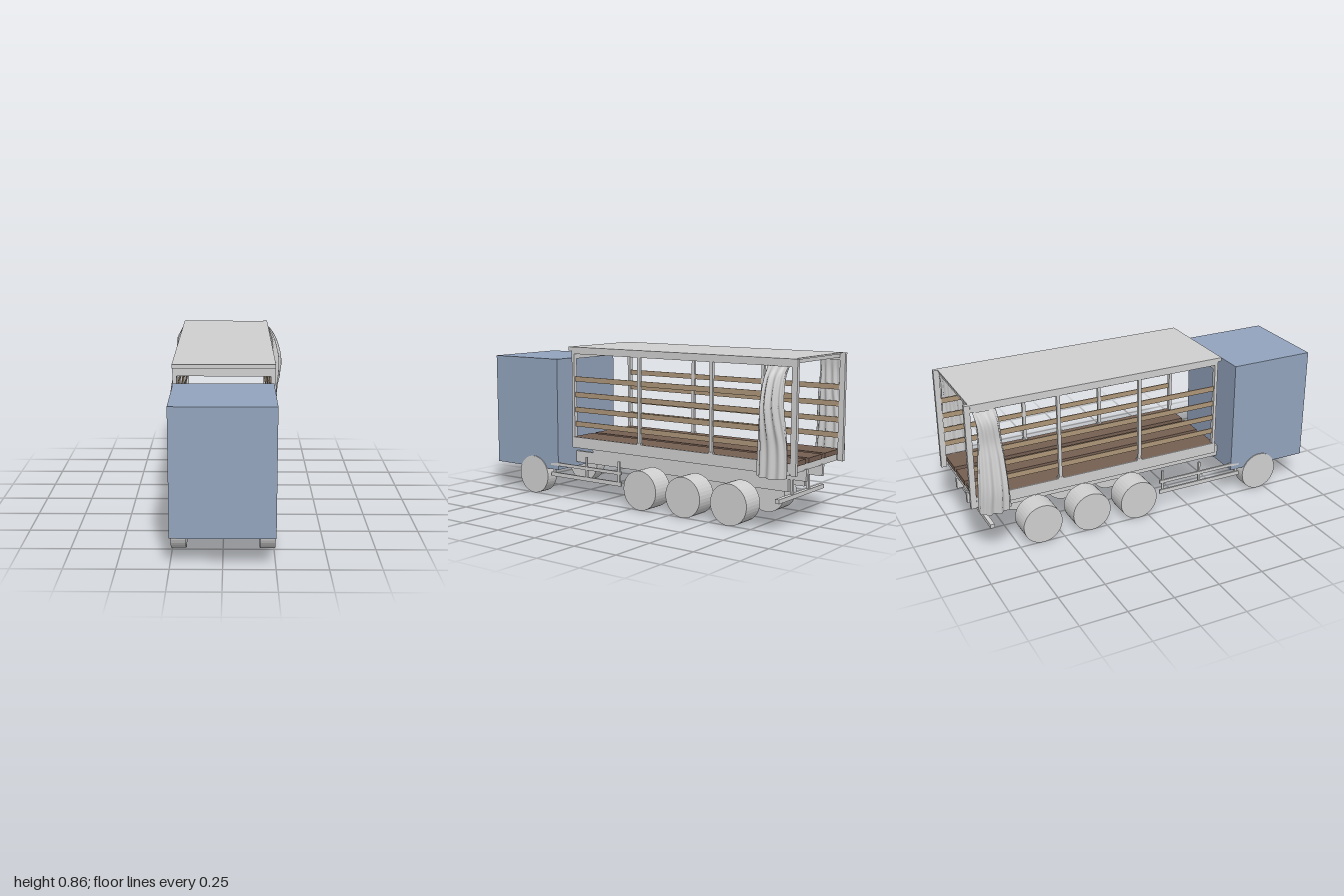
import * as THREE from 'three';

const mat = (name, color, extra = {}) => {
  const m = new THREE.MeshStandardMaterial({ color, ...extra });
  m.name = name;
  return m;
};

export function createModel() {
  const root = new THREE.Group();
  root.name = 'curtainTruck';
  const grey = mat('light grey', 0xcfcfcf);
  const greyWheel = mat('wheel grey', 0xcfcfcf, { flatShading: true });
  const cloth = mat('curtain grey', 0xd0d0d0, { side: THREE.DoubleSide });
  const blue = mat('cab blue', 0x92a3bc);
  const floorBrown = mat('floor brown', 0x755f52);
  const slatBrown = mat('slat brown', 0xae9679);

  // Box from its limits on each axis
  const box = (name, m, x0, x1, y0, y1, z0, z1) => {
    const mesh = new THREE.Mesh(new THREE.BoxGeometry(Math.abs(x1 - x0), y1 - y0, z1 - z0), m);
    mesh.position.set((x0 + x1) / 2, (y0 + y1) / 2, (z0 + z1) / 2);
    mesh.name = name;
    root.add(mesh);
  };
  // The same box on both sides
  const pair = (name, m, x0, x1, y0, y1, z0, z1) => {
    for (const s of [1, -1]) box(name, m, s * x0, s * x1, y0, y1, z0, z1);
  };

  // Cab
  box('cab', blue, -0.25, 0.25, 0.155, 0.785, 0.525, 1);

  // Wheels: single in front, double behind
  const wheel = (name, z, x0, x1) => {
    const geo = new THREE.CylinderGeometry(0.108, 0.108, x1 - x0, 36).rotateZ(Math.PI / 2);
    for (const s of [1, -1]) {
      const w = new THREE.Mesh(geo, greyWheel);
      w.position.set(s * (x0 + x1) / 2, 0.11, z);
      w.name = name;
      root.add(w);
    }
  };
  wheel('frontWheel', 0.71, 0.18, 0.255);
  for (const z of [-0.06, -0.34, -0.62]) {
    wheel('rearInnerWheel', z, 0.125, 0.18);
    wheel('rearOuterWheel', z, 0.18, 0.255);
  }

  // Chassis rails and the sub-frame on top of them
  pair('chassisRail', grey, 0.075, 0.095, 0.18, 0.245, -0.87, 0.53);
  pair('subFrameRail', grey, 0.075, 0.095, 0.245, 0.305, -0.97, 0.4);

  // Floor planks, their cross beams and the outer side plates
  box('centreFloor', floorBrown, -0.07, 0.07, 0.335, 0.36, -0.97, 0.4);
  pair('sideFloor', floorBrown, 0.1, 0.257, 0.335, 0.36, -0.97, 0.4);
  for (let i = 0; i < 14; i++) {
    const z = 0.38 - i * 0.1025;
    box('floorBeam', grey, -0.25, 0.25, 0.3, 0.335, z - 0.008, z + 0.008);
  }
  pair('sidePlate', grey, 0.257, 0.262, 0.3, 0.36, -0.97, 0.405);

  // Upright posts
  pair('frontPost', grey, 0.238, 0.26, 0.3, 0.84, 0.388, 0.405);
  for (const z of [-0.06, -0.515]) {
    pair('sidePost', grey, 0.244, 0.26, 0.36, 0.825, z - 0.009, z + 0.009);
    pair('postFoot', grey, 0.242, 0.262, 0.355, 0.368, z - 0.014, z + 0.014);
  }
  pair('rearPost', grey, 0.24, 0.26, 0.3, 0.86, -1, -0.97);

  // Side slats
  for (const y of [0.683, 0.596, 0.513, 0.433]) {
    pair('sideSlat', slatBrown, 0.246, 0.252, y - 0.014, y + 0.014, -0.97, 0.388);
  }

  // Roof with its rails and bows
  box('roof', grey, -0.262, 0.262, 0.852, 0.86, -0.975, 0.415);
  pair('roofRail', grey, 0.246, 0.262, 0.822, 0.852, -0.97, 0.405);
  box('roofFrontLip', grey, -0.262, 0.262, 0.84, 0.86, 0.405, 0.425);
  box('frontBeam', grey, -0.25, 0.25, 0.795, 0.84, 0.388, 0.4);
  box('rearBeam', grey, -0.246, 0.246, 0.835, 0.852, -0.97, -0.955);
  for (let i = 1; i < 12; i++) {
    const z = 0.39 - i * 0.113;
    box('roofBow', grey, -0.246, 0.246, 0.84, 0.852, z - 0.005, z + 0.005);
  }
  for (const x of [-0.125, 0, 0.125]) {
    box('roofStringer', grey, x - 0.005, x + 0.005, 0.842, 0.852, -0.97, 0.4);
  }

  // Side guards between the axles
  pair('guardLowerBar', grey, 0.24, 0.25, 0.115, 0.138, 0.07, 0.58);
  pair('guardUpperBar', grey, 0.24, 0.25, 0.178, 0.196, 0.07, 0.58);
  for (const z of [0.56, 0.32, 0.09]) {
    pair('guardPost', grey, 0.236, 0.246, 0.12, 0.25, z - 0.006, z + 0.006);
  }

  // Rear bumper bar on two hangers
  box('rearBar', grey, -0.235, 0.235, 0.148, 0.17, -0.9, -0.877);
  pair('rearBarHanger', grey, 0.077, 0.093, 0.17, 0.25, -0.893, -0.88);

  // Gathered curtain: pleated loops lofted downwards, profile = [y, outer x]
  const curtain = (name, side, profile) => {
    const n = 64, rows = 28, pos = [], index = [];
    const path = new THREE.CatmullRomCurve3(profile.map(([y, x]) => new THREE.Vector3(x, y, 0)));
    for (let r = 0; r <= rows; r++) {
      const t = r / rows, p = path.getPoint(t), inner = 0.265;
      const front = -0.845 + 0.04 * t, back = -0.965 + 0.012 * Math.sin(t * 5);
      for (let i = 0; i < n; i++) {
        const a = i / n * Math.PI * 2, s = Math.sin(a);
        const fold = 0.74 + 0.26 * Math.cos(9 * a + 1.5 * Math.sin(t * 4 + side));
        const x = inner + (p.x - inner) * (0.5 + 0.5 * s * fold);
        const z = (front + back) / 2 + (front - back) / 2 * Math.cos(a) * (0.86 + 0.14 * fold);
        pos.push(side * x, p.y - 0.02 * t * (s * 0.5), z);
        if (r < rows) {
          const b = r * n + i, c = r * n + (i + 1) % n;
          index.push(b, c, b + n, c, c + n, b + n);
        }
      }
    }
    const geo = new THREE.BufferGeometry();
    geo.setAttribute('position', new THREE.Float32BufferAttribute(pos, 3));
    geo.setIndex(index);
    geo.computeVertexNormals();
    const mesh = new THREE.Mesh(geo, cloth);
    mesh.name = name;
    root.add(mesh);
  };
  curtain('leftCurtain', 1, [[0.825, 0.279], [0.77, 0.318], [0.65, 0.353], [0.55, 0.347], [0.45, 0.33], [0.295, 0.325]]);
  curtain('rightCurtain', -1, [[0.825, 0.275], [0.76, 0.307], [0.66, 0.308], [0.57, 0.328], [0.42, 0.355], [0.295, 0.344]]);

  return root;
}
